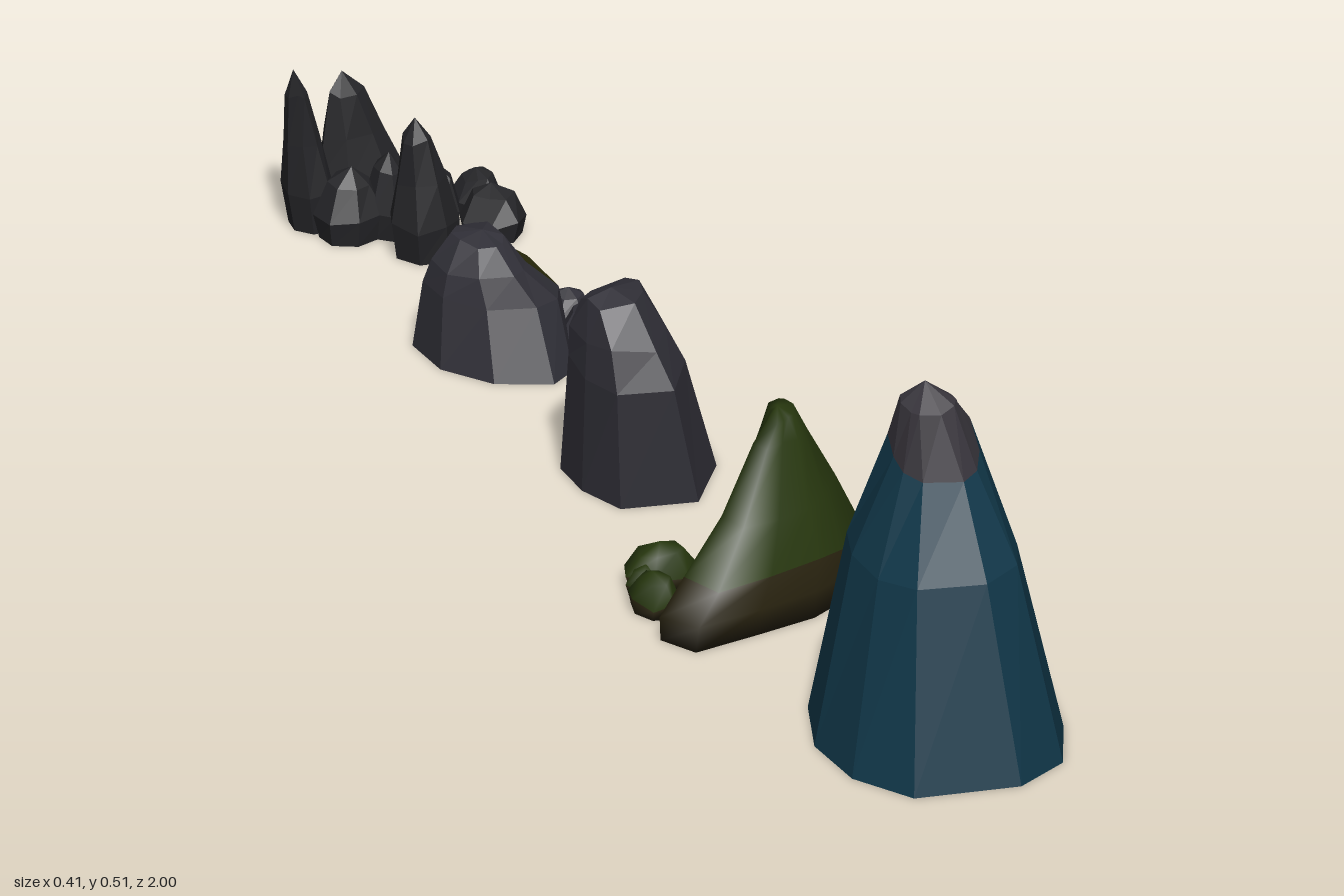
import * as THREE from 'three';

const paint = (name, color) => {
  const m = new THREE.MeshStandardMaterial({ color });
  m.name = name;
  return m;
};

// Small seeded generator for natural irregularity
function seeded(seed) {
  let s = seed;
  return () => ((s = (s * 16807) % 2147483647) / 2147483647) - 0.5;
}

// Lofts an outline [x, z] through levels [y, xMin, xMax, zMin, zMax, frontDrop]
// to a tip [x, y, z]. pick(level, side) returns the material index of a face.
function loft(name, outline, levels, tip, materials, { pick = () => 0, smooth = false, rough = 0, seed = 7 } = {}) {
  const rnd = seeded(seed);
  const n = outline.length;
  const xs = outline.map(p => p[0]), zs = outline.map(p => p[1]);
  const x0 = Math.min(...xs), x1 = Math.max(...xs);
  const z0 = Math.min(...zs), z1 = Math.max(...zs);
  const pos = [];
  levels.forEach(([y, a, b, c, d, drop = 0], k) => {
    for (const [x, z] of outline) {
      const u = (x - x0) / (x1 - x0), v = (z - z0) / (z1 - z0);
      const j = k ? rough : 0;
      pos.push(
        a + u * (b - a) + rnd() * j * 0.5,
        y + rnd() * j - drop * (v - 0.5) * 2,
        c + v * (d - c) + rnd() * j * 0.5);
    }
  });
  pos.push(...tip);
  const last = levels.length - 1, tipIndex = levels.length * n;
  const buckets = materials.map(() => []);
  for (let i = 0; i < n; i++) {
    const j = (i + 1) % n;
    for (let k = 0; k < last; k++) {
      const a = k * n + i, b = k * n + j;
      buckets[pick(k, i)].push(a, a + n, b, b, a + n, b + n);
    }
    buckets[pick(last, i)].push(last * n + i, tipIndex, last * n + j);
    if (i > 0 && i < n - 1) buckets[pick(0, i)].push(0, i, i + 1);
  }
  let geo = new THREE.BufferGeometry();
  geo.setAttribute('position', new THREE.Float32BufferAttribute(pos, 3));
  geo.setIndex(buckets.flat());
  let start = 0;
  buckets.forEach((b, m) => {
    geo.addGroup(start, b.length, m);
    start += b.length;
  });
  if (!smooth) geo = geo.toNonIndexed();
  geo.computeVertexNormals();
  const mesh = new THREE.Mesh(geo, materials);
  mesh.name = name;
  return mesh;
}

// Small stone: profile of [height fraction, radius fraction], leaning to its tip
const ROUND = [[0, 0.85], [0.35, 1], [0.8, 0.6]];
const SPIRE = [[0, 0.9], [0.25, 1], [0.55, 0.7], [0.85, 0.42]];
function stone(name, [x, z, rx, rz, h, tx = x, tz = z], profile, materials, opts = {}) {
  const outline = [];
  for (let i = 0; i < 7; i++) {
    const a = (i / 7) * Math.PI * 2 + (opts.seed || 0);
    outline.push([Math.cos(a), Math.sin(a)]);
  }
  const levels = profile.map(([f, r]) => {
    const cx = x + (tx - x) * f, cz = z + (tz - z) * f;
    return [f * h, cx - rx * r, cx + rx * r, cz - rz * r, cz + rz * r];
  });
  return loft(name, outline, levels, [tx, h, tz], materials, { rough: 0.008, ...opts });
}

export function createModel() {
  const blue = paint('deepBlueRock', 0x11384a);
  const cap = paint('greyPeak', 0x39363d);
  const green = paint('mossGreen', 0x28380f);
  const earth = paint('darkEarth', 0x2a2410);
  const grey = paint('slateGrey', 0x302f37);
  const moss = paint('oliveMoss', 0x2b2c0c);
  const dark = paint('charcoal', 0x252528);

  const model = new THREE.Group();
  model.name = 'rockSet';

  // Tall blue mountain with a grey summit
  model.add(loft('mountain',
    [[0.15, 0.6], [0.2, 0.69], [0.15, 0.86], [0.1, 0.96], [0.02, 1], [-0.12, 0.97],
      [-0.165, 0.88], [-0.165, 0.77], [-0.12, 0.66], [0.02, 0.62]],
    [[0, -0.167, 0.203, 0.6, 1],
      [0.27, -0.117, 0.128, 0.665, 0.932],
      [0.41, -0.066, 0.064, 0.738, 0.867, 0.02],
      [0.478, -0.05, 0.027, 0.76, 0.838]],
    [-0.02, 0.512, 0.8], [blue, cap], { pick: k => (k >= 2 ? 1 : 0), rough: 0.012 }));

  // Soft green hill on an earthy skirt
  const hill = new THREE.Group();
  hill.name = 'greenHill';
  hill.add(loft('hill',
    [[0.09, 0.19], [0.12, 0.26], [0.13, 0.34], [0.07, 0.39], [0.01, 0.42], [-0.08, 0.433], [-0.18, 0.445],
      [-0.205, 0.39], [-0.12, 0.33], [-0.1, 0.29], [-0.04, 0.23]],
    [[0, -0.203, 0.125, 0.195, 0.448],
      [0.035, -0.2, 0.13, 0.19, 0.447],
      [0.075, -0.165, 0.12, 0.197, 0.438],
      [0.145, -0.1, 0.085, 0.222, 0.405],
      [0.225, -0.04, 0.05, 0.262, 0.365],
      [0.256, -0.015, 0.03, 0.28, 0.347]],
    [0.008, 0.261, 0.314], [green, earth],
    { pick: k => (k < 2 ? 1 : 0), smooth: true, rough: 0.012, seed: 31 }));
  [[-0.125, 0.237, 0.053, 0.04, 0.06], [-0.17, 0.305, 0.032, 0.045, 0.055], [-0.155, 0.255, 0.028, 0.03, 0.04]]
    .forEach((s, i) => hill.add(stone('shrub' + (i + 1), s, ROUND, [green, earth],
      { pick: k => (k < 1 ? 1 : 0), smooth: true, seed: 3 + i })));
  model.add(hill);

  // Upright grey boulder
  model.add(loft('uprightBoulder',
    [[0.1, -0.19], [0.12, -0.13], [0.1, -0.05], [0.03, 0.035], [-0.07, 0.01], [-0.09, -0.06],
      [-0.085, -0.13], [-0.03, -0.17]],
    [[0, -0.092, 0.12, -0.192, 0.042],
      [0.17, -0.09, 0.065, -0.155, 0.033],
      [0.215, -0.088, 0.04, -0.14, 0.008],
      [0.262, -0.075, 0.01, -0.118, -0.035]],
    [-0.04, 0.276, -0.075], [grey], { rough: 0.014, seed: 53 }));

  // Low grey boulder with a moss ledge and two companions
  const low = new THREE.Group();
  low.name = 'mossyBoulder';
  low.add(loft('lowBoulder',
    [[0.05, -0.625], [0.09, -0.57], [0.085, -0.44], [0.06, -0.39], [0.02, -0.365], [-0.05, -0.4],
      [-0.093, -0.47], [-0.093, -0.55], [-0.04, -0.6]],
    [[0, -0.093, 0.09, -0.625, -0.36],
      [0.09, -0.082, 0.082, -0.6, -0.407],
      [0.127, -0.07, 0.035, -0.58, -0.43],
      [0.158, -0.045, 0.012, -0.555, -0.47]],
    [-0.01, 0.167, -0.51], [grey, moss],
    { pick: (k, i) => (k === 1 && i === 1 ? 1 : 0), rough: 0.008, seed: 11 }));
  [[0.115, -0.44, 0.044, 0.048, 0.065], [0.122, -0.522, 0.033, 0.034, 0.05]]
    .forEach((s, i) => low.add(stone('companionStone' + (i + 1), s, ROUND, [grey], { seed: 5 + i })));
  model.add(low);

  // Charcoal cluster: three spires among loose stones
  const cluster = new THREE.Group();
  cluster.name = 'spireCluster';
  [[-0.045, -0.938, 0.033, 0.036, 0.232, -0.075, -0.932],
    [0.045, -0.962, 0.062, 0.038, 0.2, 0.01, -0.96],
    [0.048, -0.795, 0.046, 0.047, 0.202, 0.03, -0.787]]
    .forEach((s, i) => cluster.add(stone('spire' + (i + 1), s, SPIRE, [dark], { seed: 2 + i })));
  [[-0.015, -0.882, 0.047, 0.042, 0.1], [0.035, -0.872, 0.032, 0.04, 0.115], [0.098, -0.865, 0.033, 0.045, 0.09],
    [0.167, -0.882, 0.033, 0.036, 0.06], [0.15, -0.803, 0.046, 0.043, 0.075]]
    .forEach((s, i) => cluster.add(stone('looseStone' + (i + 1), s, ROUND, [dark], { seed: 8 + i })));
  model.add(cluster);

  return model;
}
